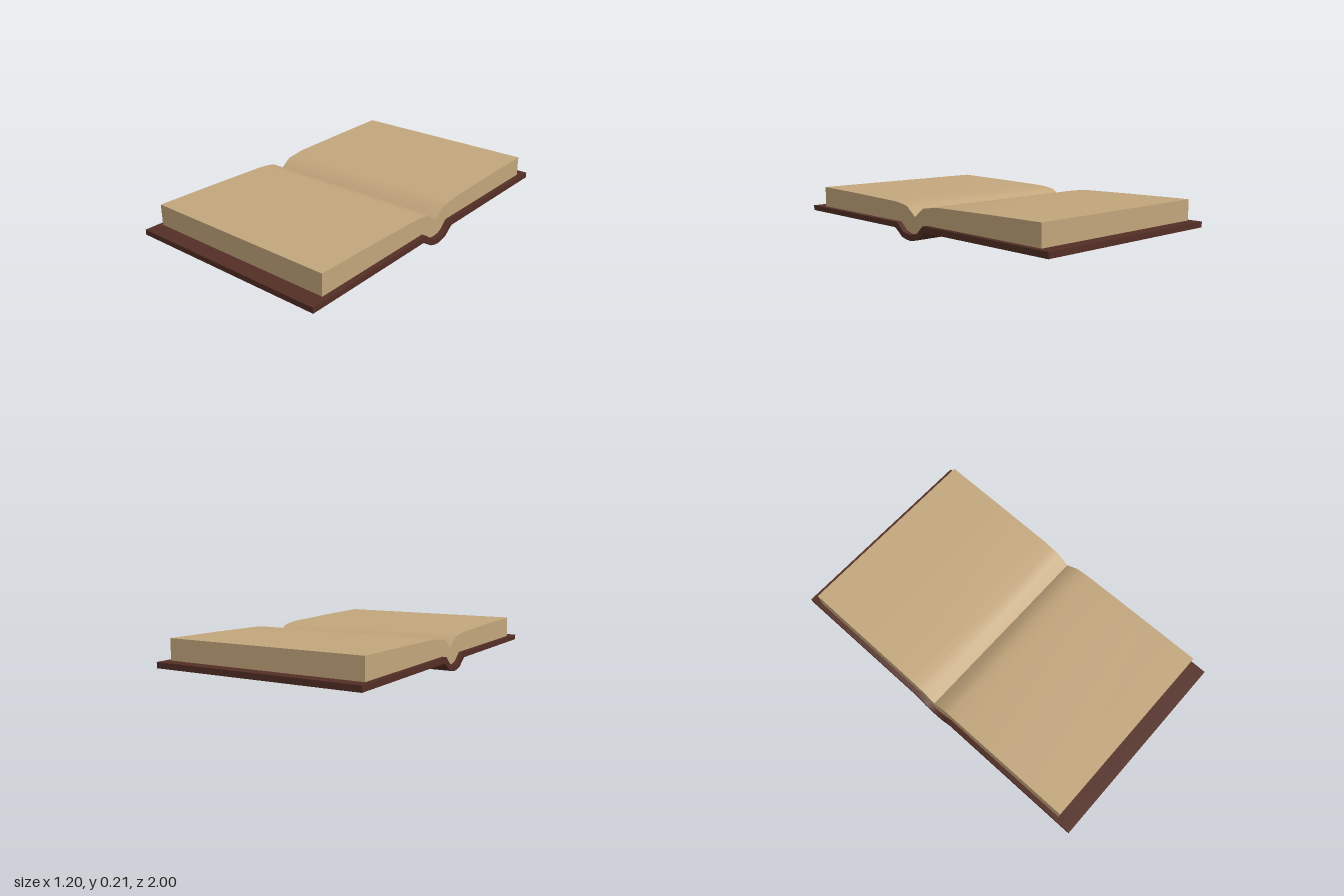
import * as THREE from 'three';
import { toCreasedNormals } from 'three/addons/utils/BufferGeometryUtils.js';

// Extrude a closed [z, y] profile along x, from x0 to x1
function slab(name, profile, x0, x1, material) {
  const shape = new THREE.Shape(profile.map(([z, y]) => new THREE.Vector2(z, y)));
  const extruded = new THREE.ExtrudeGeometry(shape, { depth: x1 - x0, bevelEnabled: false });
  extruded.rotateY(-Math.PI / 2).translate(x1, 0, 0);
  const mesh = new THREE.Mesh(toCreasedNormals(extruded, 0.9), material);
  mesh.name = name;
  return mesh;
}

export function createModel() {
  const leather = new THREE.MeshStandardMaterial({ color: 0x532e25 });
  leather.name = 'brown leather';
  const paper = new THREE.MeshStandardMaterial({ color: 0xc2a67c });
  paper.name = 'aged paper';

  // Curves of the spine, running from +z to -z
  const spineBottom = [[0.13, 0.06], [0.105, 0.044], [0.07, 0.017], [0.035, 0.007], [0, 0.003],
    [-0.035, 0.007], [-0.07, 0.017], [-0.105, 0.044], [-0.13, 0.062]];
  const spineTop = [[0.113, 0.09], [0.09, 0.073], [0.06, 0.047], [0.03, 0.039], [0, 0.035],
    [-0.03, 0.039], [-0.06, 0.047], [-0.09, 0.073], [-0.113, 0.094]];

  // Both covers and the spine in one bent sheet
  const cover = slab('cover', [
    [1, 0.09], [1, 0.06], ...spineBottom, [-1, 0.062], [-1, 0.094], ...[...spineTop].reverse(),
  ], -0.6, 0.6, leather);

  // Open page block with the gutter in the middle
  const pageTop = [[-0.93, 0.21], [-0.57, 0.205], [-0.2, 0.197], [-0.14, 0.189], [-0.08, 0.18],
    [-0.01, 0.128], [0.06, 0.18], [0.11, 0.189], [0.17, 0.195], [0.54, 0.204], [0.905, 0.21]];
  const pages = slab('pages', [
    [0.905, 0.09], ...spineTop, [-0.93, 0.094], ...pageTop,
  ], -0.575, 0.57, paper);

  // Thin label band wrapped round the outside of the spine
  const labelOuter = spineBottom.map(([z, y]) => [z * 1.02, y - 0.003]);
  const label = slab('spineLabel', [...labelOuter, ...[...spineBottom].reverse()], -0.455, -0.305, paper);

  const book = new THREE.Group();
  book.name = 'openBook';
  book.add(cover, pages, label);
  return book;
}
